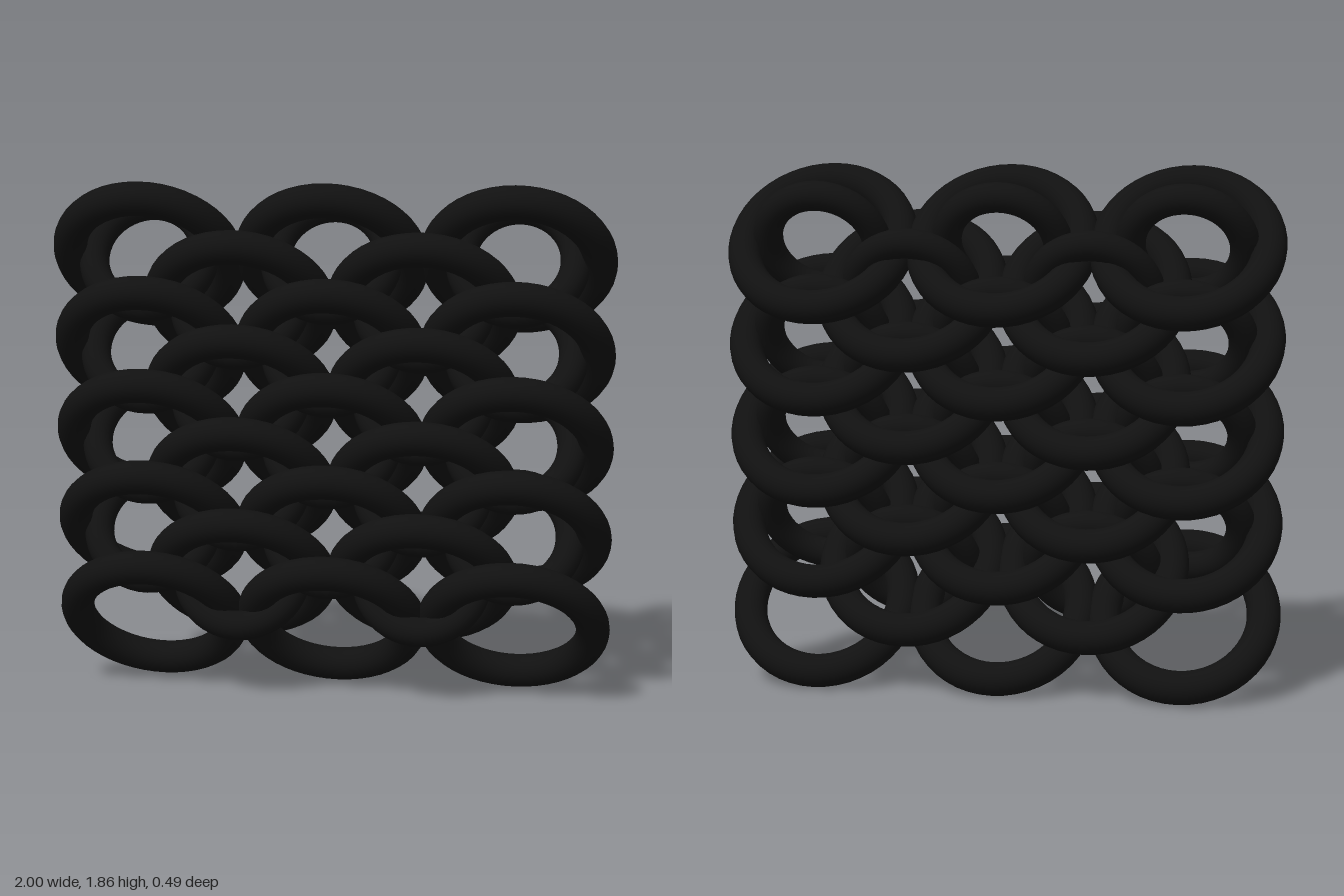
import * as THREE from 'three';

const PITCH_X = 0.655; // spacing of rings within a row
const PITCH_Y = 0.164; // spacing between rows
const BASE_Y = 0.276;  // centre height of the lowest row
const ROWS = 9;

export function createModel() {
  const group = new THREE.Group();
  group.name = 'chainMail';
  const material = new THREE.MeshStandardMaterial({ color: 0x111111 });

  // Large rings lean forward at the top, small rings lean back through them
  const largeRing = new THREE.TorusGeometry(0.285, 0.06, 20, 48).rotateX(0.71);
  const smallRing = new THREE.TorusGeometry(0.2, 0.053, 20, 48).rotateX(-0.55);

  const addRing = (parent, name, geometry, x) => {
    const ring = new THREE.Mesh(geometry, material);
    ring.name = name;
    ring.position.x = x;
    parent.add(ring);
  };

  // Rows alternate between three rings and two staggered rings
  for (let i = 0; i < ROWS; i++) {
    const row = new THREE.Group();
    row.name = `ringRow${i + 1}`;
    row.position.y = BASE_Y + i * PITCH_Y;
    const count = i % 2 === 0 ? 3 : 2;
    for (let j = 0; j < count; j++) {
      const x = (j - (count - 1) / 2) * PITCH_X;
      addRing(row, 'largeRing', largeRing, x);
      // The lowest row hangs free, without small rings
      if (i > 0) addRing(row, 'smallRing', smallRing, x);
    }
    group.add(row);
  }
  return group;
}
